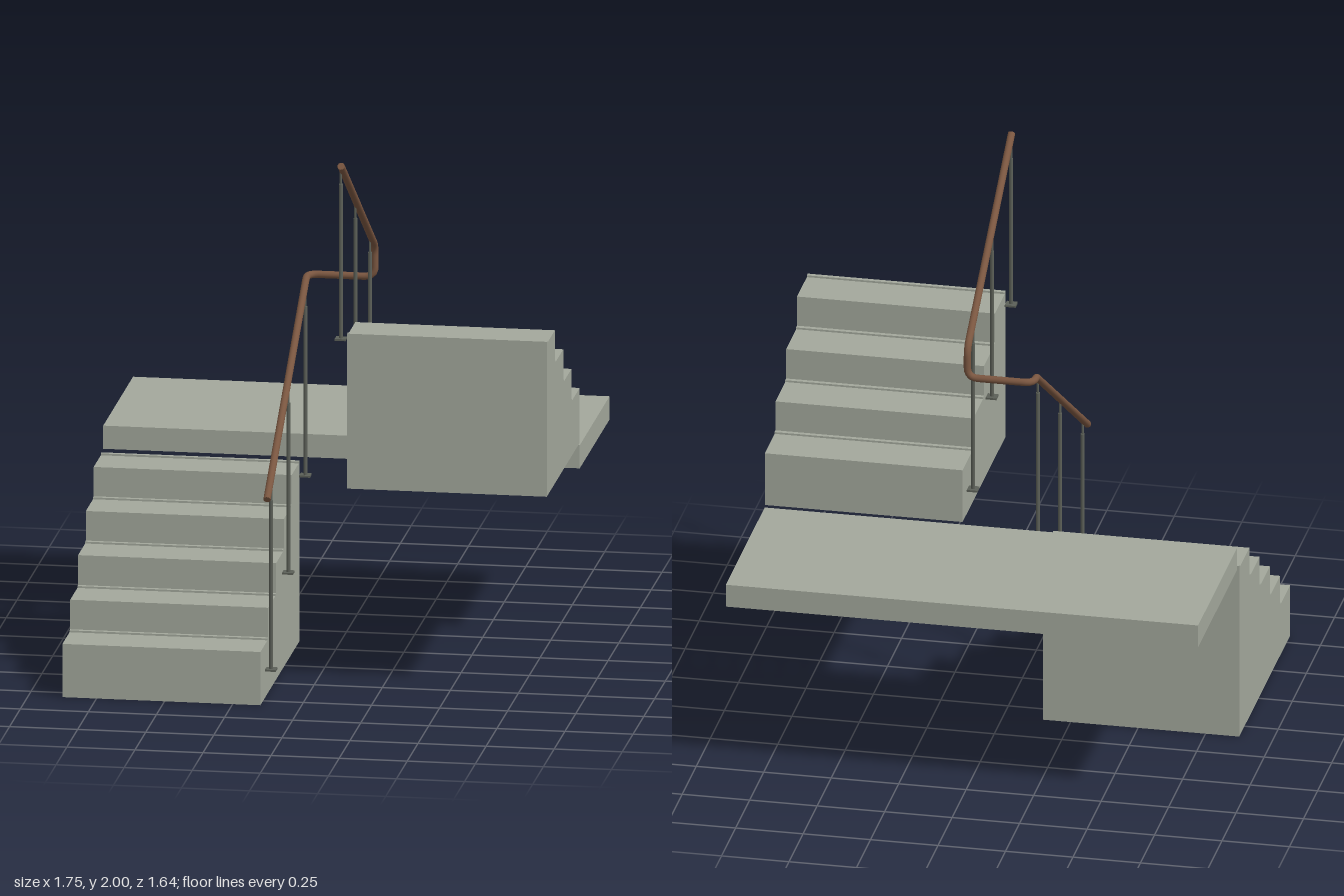
import * as THREE from 'three';

const concrete = new THREE.MeshStandardMaterial({ color: 0xa3a89c });
concrete.name = 'concrete';
const wood = new THREE.MeshStandardMaterial({ color: 0x7a5640 });
wood.name = 'brownWood';
const metal = new THREE.MeshStandardMaterial({ color: 0x5c6058 });
metal.name = 'greyMetal';

function addMesh(parent, name, geometry, material, x = 0, y = 0, z = 0) {
  const mesh = new THREE.Mesh(geometry, material);
  mesh.name = name;
  mesh.position.set(x, y, z);
  parent.add(mesh);
  return mesh;
}

// Solid flight: stepped side profile (z, y) extruded across x, with a low lip at the back of each tread
function flight(xMin, xMax, base, edges, heights) {
  const dir = Math.sign(edges[1] - edges[0]);
  const lipDepth = 0.016, lipHeight = 0.007;
  const shape = new THREE.Shape();
  shape.moveTo(edges[0], base);
  heights.forEach((y, i) => {
    const back = edges[i + 1];
    shape.lineTo(edges[i], y);
    shape.lineTo(back - dir * lipDepth, y);
    shape.lineTo(back - dir * lipDepth, y + lipHeight);
    shape.lineTo(back, y + lipHeight);
  });
  shape.lineTo(edges[edges.length - 1], base);
  const geometry = new THREE.ExtrudeGeometry(shape, { depth: xMax - xMin, bevelEnabled: false });
  return geometry.rotateY(-Math.PI / 2).translate(xMax, 0, 0);
}

// Path through corner points, each corner rounded with its own radius
function roundedPath(points, radii) {
  const path = new THREE.CurvePath();
  let last = points[0];
  for (let i = 1; i < points.length - 1; i++) {
    const p = points[i], r = radii[i - 1];
    const a = points[i - 1].clone().sub(p).setLength(r).add(p);
    const b = points[i + 1].clone().sub(p).setLength(r).add(p);
    path.add(new THREE.LineCurve3(last, a));
    path.add(new THREE.QuadraticBezierCurve3(a, p, b));
    last = b;
  }
  path.add(new THREE.LineCurve3(last, points[points.length - 1]));
  return path;
}

// Post with a square foot plate and a thinner pin up to the rail
function baluster(x, z, foot, top) {
  const group = new THREE.Group();
  group.name = 'baluster';
  group.position.set(x, 0, z);
  const pin = 0.05, h = top - pin - foot;
  addMesh(group, 'footPlate', new THREE.BoxGeometry(0.04, 0.007, 0.04), metal, 0, foot, 0);
  addMesh(group, 'post', new THREE.CylinderGeometry(0.0075, 0.0075, h, 16), metal, 0, foot + h / 2, 0);
  addMesh(group, 'pin', new THREE.CylinderGeometry(0.0045, 0.0045, pin, 12), metal, 0, top - pin / 2, 0);
  return group;
}

export function createModel() {
  const model = new THREE.Group();
  model.name = 'staircase';

  // Flights and landing
  addMesh(model, 'lowerFlight', flight(-0.875, -0.148, 0,
    [0.813, 0.632, 0.45, 0.27, 0.088, -0.093], [0.2, 0.318, 0.437, 0.555, 0.672]), concrete);
  addMesh(model, 'upperFlight', flight(0.142, 0.875, 0.778,
    [-0.132, 0.058, 0.248, 0.442, 0.632], [0.984, 1.106, 1.23, 1.353]), concrete);
  addMesh(model, 'landing', new THREE.BoxGeometry(1.75, 0.087, 0.692), concrete, 0, 0.725, -0.479);

  // Handrail wrapping around the stairwell
  const v = (x, y, z) => new THREE.Vector3(x, y, z);
  const railRadius = 0.0135;
  const path = roundedPath([
    v(-0.124, 0.773, 0.812), v(-0.124, 1.365, -0.097), v(-0.124, 1.365, -0.152),
    v(0.12, 1.365, -0.152), v(0.12, 1.482, -0.152), v(0.12, 1.988, 0.633),
  ], [0.015, 0.038, 0.04, 0.035]);
  addMesh(model, 'handrail', new THREE.TubeGeometry(path, 200, railRadius, 16), wood);
  for (const t of [0, 1]) {
    const p = path.getPoint(t);
    const out = path.getTangent(t).multiplyScalar(t ? 1 : -1);
    const cap = addMesh(model, 'handrailEnd', new THREE.CircleGeometry(railRadius, 16), wood, p.x, p.y, p.z);
    cap.lookAt(p.clone().add(out));
  }

  // Balusters: each top follows the slope of its rail
  const lowerTop = z => 0.773 + (0.812 - z) * 0.651;
  const upperTop = z => 1.482 + (z + 0.152) * 0.645;
  [[0.76, 0.122], [0.36, 0.38], [-0.035, 0.64]].forEach(([z, foot]) =>
    model.add(baluster(-0.117, z, foot, lowerTop(z))));
  [[-0.087, 0.892], [0.25, 1.11], [0.588, 1.328]].forEach(([z, foot]) =>
    model.add(baluster(0.112, z, foot, upperTop(z))));

  return model;
}
